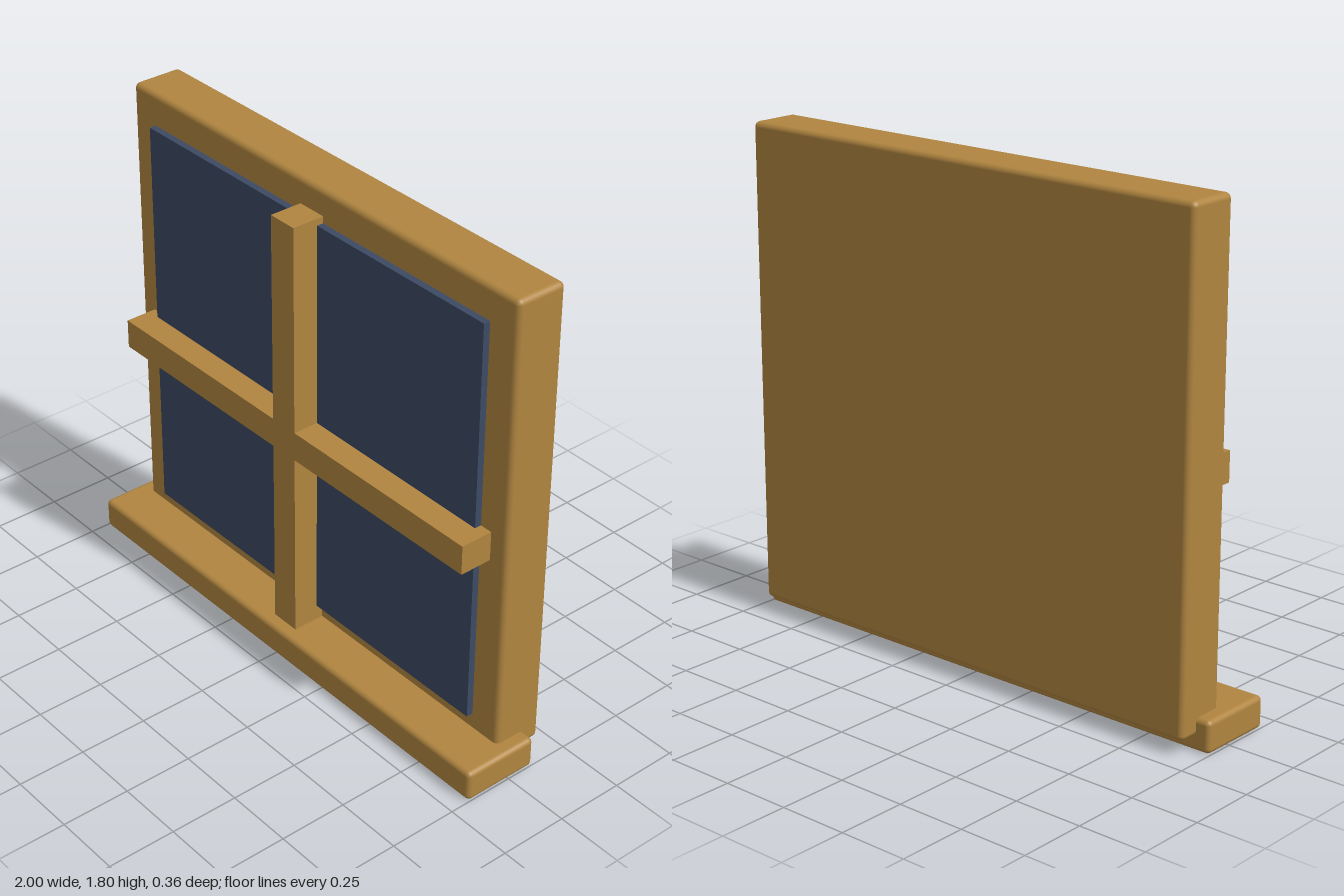
import * as THREE from 'three';
import { RoundedBoxGeometry } from 'three/addons/geometries/RoundedBoxGeometry.js';

export function createModel() {
  const model = new THREE.Group();
  model.name = 'window';

  const wood = new THREE.MeshStandardMaterial({ name: 'wood', color: 0xb08540 });
  const glass = new THREE.MeshStandardMaterial({ name: 'darkGlass', color: 0x3c4a63 });

  // Adds a box spanning the given ranges; a radius rounds its edges
  function addBox(name, material, [x0, x1], [y0, y1], [z0, z1], radius = 0) {
    const size = [x1 - x0, y1 - y0, z1 - z0];
    const geometry = radius
      ? new RoundedBoxGeometry(...size, 3, radius)
      : new THREE.BoxGeometry(...size);
    const mesh = new THREE.Mesh(geometry, material);
    mesh.name = name;
    mesh.position.set((x0 + x1) / 2, (y0 + y1) / 2, (z0 + z1) / 2);
    model.add(mesh);
  }

  // Solid backing frame and the sill it stands in
  addBox('frame', wood, [-0.947, 0.947], [0.057, 1.803], [-0.18, 0.01], 0.02);
  addBox('sill', wood, [-1, 1], [0.005, 0.12], [-0.108, 0.18], 0.018);

  // Glass panel standing slightly proud of the frame
  addBox('glassPane', glass, [-0.828, 0.828], [0.177, 1.685], [-0.03, 0.035]);

  // Crossing glazing bars
  addBox('verticalBar', wood, [-0.056, 0.056], [0.06, 1.71], [0, 0.131]);
  addBox('horizontalBar', wood, [-0.875, 0.875], [0.832, 0.94], [0, 0.131]);

  // Rest the sill on the ground
  model.children.forEach((part) => { part.position.y -= 0.005; });
  return model;
}
